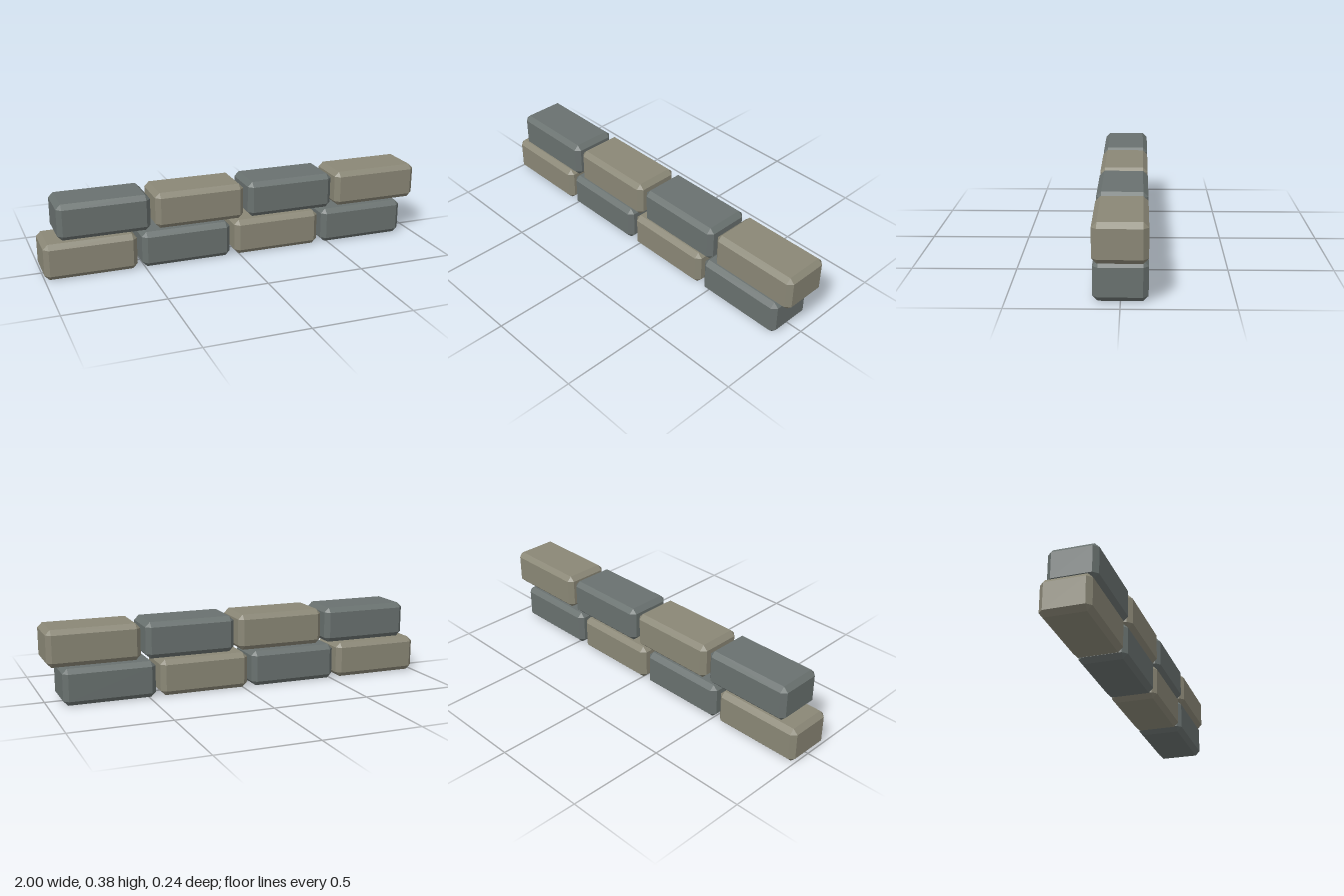
import * as THREE from 'three';
import { ConvexGeometry } from 'three/addons/geometries/ConvexGeometry.js';

const LENGTH = 0.463, HEIGHT = 0.183, DEPTH = 0.244, BEVEL = 0.024;
const PITCH_X = 0.488, PITCH_Y = 0.195, ROW_SHIFT = 0.073;

// Box with flat bevels on every edge and a small triangle at every corner
function bevelledBox(w, h, d, b) {
  const points = [];
  for (const sx of [-1, 1]) for (const sy of [-1, 1]) for (const sz of [-1, 1]) {
    const x = w / 2, y = h / 2, z = d / 2;
    points.push(
      new THREE.Vector3(sx * x, sy * (y - b), sz * (z - b)),
      new THREE.Vector3(sx * (x - b), sy * y, sz * (z - b)),
      new THREE.Vector3(sx * (x - b), sy * (y - b), sz * z)
    );
  }
  return new ConvexGeometry(points);
}

export function createModel() {
  const wall = new THREE.Group();
  wall.name = 'brickWall';
  const geometry = bevelledBox(LENGTH, HEIGHT, DEPTH, BEVEL);
  const tan = new THREE.MeshStandardMaterial({ color: 0x8a8776, flatShading: true });
  const slate = new THREE.MeshStandardMaterial({ color: 0x69716f, flatShading: true });

  // Two staggered courses of four bricks in alternating colours
  for (let row = 0; row < 2; row++) {
    const course = new THREE.Group();
    course.name = row === 0 ? 'lowerCourse' : 'upperCourse';
    course.position.set(row * ROW_SHIFT, HEIGHT / 2 + row * PITCH_Y, 0);
    for (let i = 0; i < 4; i++) {
      const isTan = (i + row) % 2 === 0;
      const brick = new THREE.Mesh(geometry, isTan ? tan : slate);
      brick.name = isTan ? 'tanBrick' : 'slateBrick';
      brick.position.x = -1 + LENGTH / 2 + i * PITCH_X;
      course.add(brick);
    }
    wall.add(course);
  }
  return wall;
}
